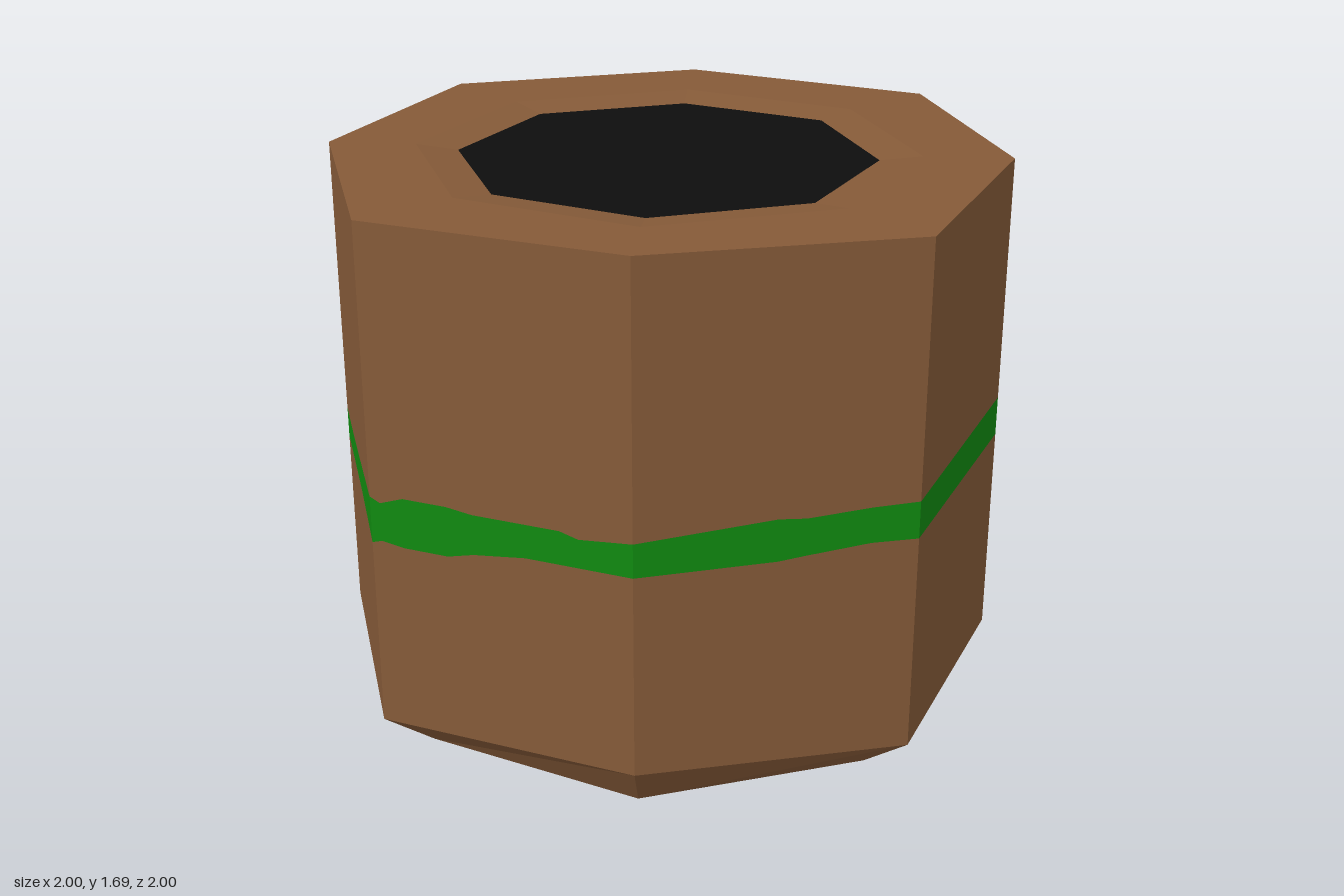
import * as THREE from 'three';

const SIDES = 8, CENTRE_Z = 0.025, TOP = 1.69, SHOULDER = 0.19;

// Corner i of an octagonal ring; i may be fractional to land along a side.
function corner(r, i) {
  const at = (n) => {
    const a = (n % SIDES) * Math.PI / 4;
    const outer = r === 1;
    const k = n % 2 ? (outer ? 1.0607 : 1.01) : 1;
    const shift = outer && n % 4 === 0 ? 0 : CENTRE_Z;
    return [Math.sin(a) * r * k, Math.cos(a) * r * k + shift];
  };
  const n = Math.floor(i), t = i - n, p = at(n), q = at(n + 1);
  return [p[0] + (q[0] - p[0]) * t, p[1] + (q[1] - p[1]) * t];
}

// Skin of quads between successive closed rings of points.
function loft(rings) {
  const pos = [];
  for (let s = 0; s < rings.length - 1; s++) {
    const lo = rings[s], hi = rings[s + 1], n = lo.length;
    for (let i = 0; i < n; i++) {
      const j = (i + 1) % n;
      pos.push(...lo[i], ...lo[j], ...hi[j], ...lo[i], ...hi[j], ...hi[i]);
    }
  }
  const g = new THREE.BufferGeometry();
  g.setAttribute('position', new THREE.Float32BufferAttribute(pos, 3));
  g.computeVertexNormals();
  return g;
}

function ring(r, y) {
  return Array.from({ length: SIDES }, (_, i) => {
    const [x, z] = corner(r, i);
    return [x, y, z];
  });
}

// Wavy stripe: position around the wall in sides, lower height, upper height.
const STRIPE = [
  [0, 0.80, 0.90], [0.5, 0.81, 0.935], [0.6, 0.82, 0.93], [0.83, 0.84, 0.945],
  [1, 0.84, 0.95], [2, 0.83, 0.95], [3, 0.76, 0.88],
  [3.3, 0.755, 0.87], [3.4, 0.77, 0.885], [3.7, 0.76, 0.86],
  [4, 0.76, 0.855], [5, 0.715, 0.82],
  [5.4, 0.73, 0.83], [5.8, 0.75, 0.835], [6, 0.745, 0.84],
  [6.3, 0.76, 0.85], [6.6, 0.77, 0.87], [7, 0.76, 0.90],
  [7.04, 0.77, 0.885], [7.13, 0.76, 0.91], [7.3, 0.76, 0.91], [7.4, 0.78, 0.90],
  [7.6, 0.80, 0.90], [7.73, 0.80, 0.90], [7.8, 0.80, 0.885],
];

export function createModel() {
  const brown = new THREE.MeshStandardMaterial({ color: 0x855a38 });
  brown.name = 'brown';
  const green = new THREE.MeshStandardMaterial({ color: 0x108a10 });
  green.name = 'green';
  const black = new THREE.MeshStandardMaterial({ color: 0x0d0d0d, side: THREE.DoubleSide });
  black.name = 'black';
  for (const m of [brown, green, black]) m.flatShading = true;

  const group = new THREE.Group();
  group.name = 'octagonalPot';
  const add = (name, geometry, material) => {
    const mesh = new THREE.Mesh(geometry, material);
    mesh.name = name;
    group.add(mesh);
  };

  // Outer wall in three bands so the stripe lies flush in it.
  const wallRing = (height) => STRIPE.map((s) => {
    const [x, z] = corner(1, s[0]);
    return [x, height(s), z];
  });
  const foot = wallRing(() => SHOULDER), low = wallRing((s) => s[1]);
  const high = wallRing((s) => s[2]), head = wallRing(() => TOP);
  add('lowerWall', loft([foot, low]), brown);
  add('stripe', loft([low, high]), green);
  add('upperWall', loft([high, head]), brown);

  // Hollow inside, bottom lip and bevelled base.
  add('innerWallAndBase', loft([
    ring(0.615, 1.675), ring(0.615, 0.055), ring(0.66, 0),
    ring(0.755, 0), ring(0.885, 0.055), ring(1, SHOULDER),
  ]), brown);

  // Top rim, dipping slightly towards the opening.
  add('topRim', loft([ring(1, TOP), ring(0.74, TOP), ring(0.615, 1.675)]), brown);

  // Dark surface filling the opening.
  const centre = Array.from({ length: SIDES }, () => [0, 1.675, CENTRE_Z]);
  add('darkFill', loft([ring(0.615, 1.675), centre]), black);

  return group;
}
